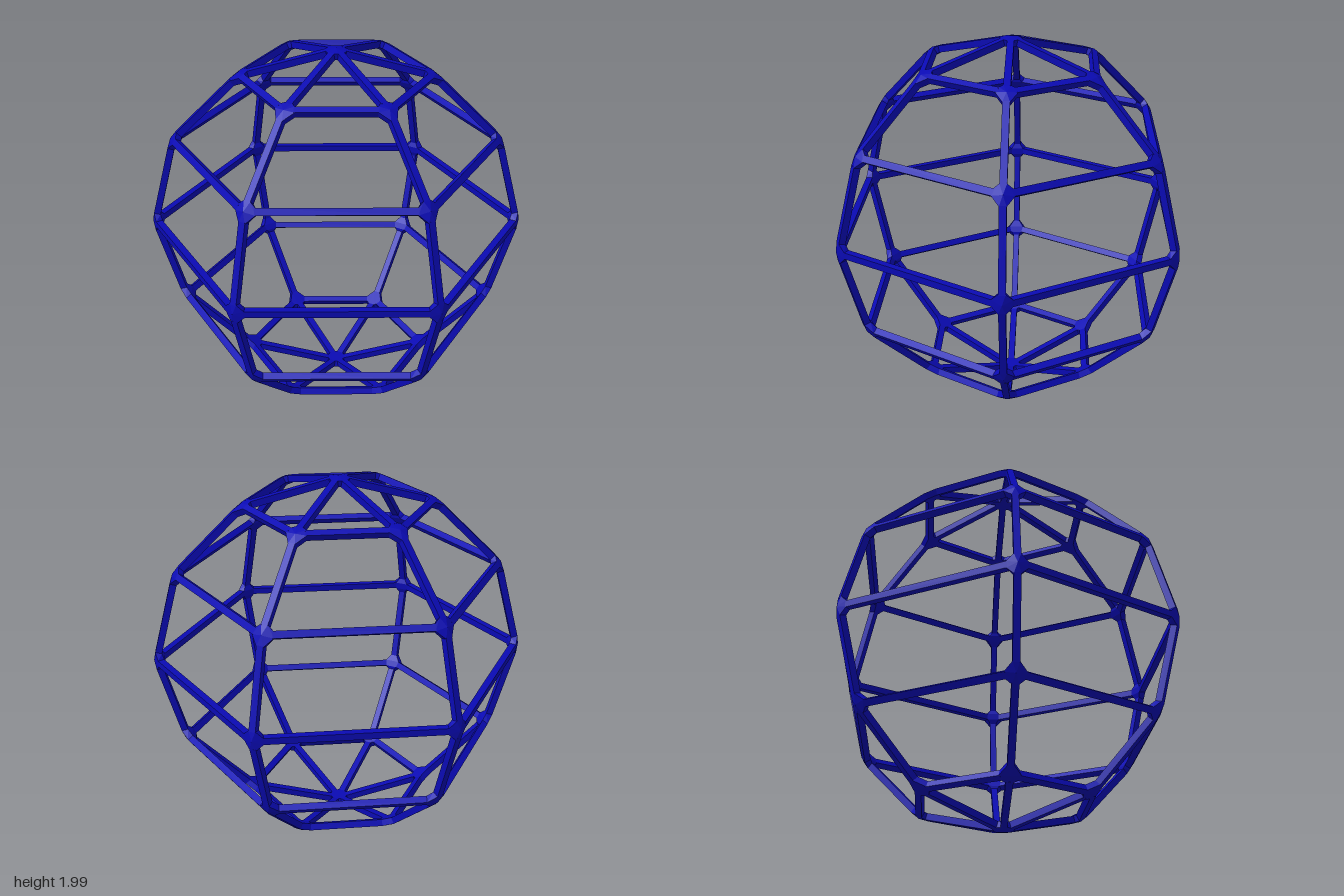
import * as THREE from 'three';
import { ConvexGeometry } from 'three/addons/geometries/ConvexGeometry.js';

const RADIUS = 0.98;   // node distance from the centre
const BAR = 0.036;     // square bar thickness
const JOINT = 0.05;    // how far a joint reaches along each bar
const SIDES = 6, RINGS = 6;

export function createModel() {
  const model = new THREE.Group();
  model.name = 'wireGlobe';
  const blue = new THREE.MeshStandardMaterial({ color: 0x0a0ab4, flatShading: true });
  blue.name = 'deep blue';

  // Nodes on a six-sided globe, poles at both ends, one meridian facing front
  const nodes = [];
  const addNode = (ring, side) => {
    const lat = (ring / RINGS) * Math.PI;
    const lon = (side / SIDES) * Math.PI * 2;
    const position = new THREE.Vector3().setFromSphericalCoords(RADIUS, lat, lon);
    nodes.push({ position, corners: [] });
    return nodes[nodes.length - 1];
  };
  const north = addNode(0, 0), south = addNode(RINGS, 0);
  const grid = [];
  for (let r = 1; r < RINGS; r++) {
    grid[r] = [];
    for (let s = 0; s < SIDES; s++) grid[r][s] = addNode(r, s);
  }

  const frame = new THREE.Group();
  frame.name = 'frame';
  frame.position.y = 1;
  model.add(frame);

  // Square bar between two nodes, one face turned outward
  const addBar = (a, b, name) => {
    const along = b.position.clone().sub(a.position);
    const length = along.length();
    along.normalize();
    const middle = a.position.clone().add(b.position).multiplyScalar(0.5);
    const out = middle.clone().normalize();
    const across = new THREE.Vector3().crossVectors(along, out);
    const geometry = new THREE.BoxGeometry(BAR, length - JOINT * 1.8, BAR);
    geometry.applyMatrix4(new THREE.Matrix4().makeBasis(across, along, out).setPosition(middle));
    const bar = new THREE.Mesh(geometry, blue);
    bar.name = name;
    frame.add(bar);

    // Bar end corners become the outline of each joint
    for (const [node, sign] of [[a, 1], [b, -1]]) {
      for (const u of [-1, 1]) for (const v of [-1, 1]) {
        node.corners.push(node.position.clone()
          .addScaledVector(along, sign * JOINT)
          .addScaledVector(across, u * BAR / 2)
          .addScaledVector(out, v * BAR / 2));
      }
    }
  };

  for (let s = 0; s < SIDES; s++) {
    addBar(north, grid[1][s], 'meridianBar');
    for (let r = 1; r < RINGS; r++) {
      addBar(grid[r][s], grid[r][(s + 1) % SIDES], 'ringBar');
      addBar(grid[r][s], r + 1 < RINGS ? grid[r + 1][s] : south, 'meridianBar');
    }
  }

  // Faceted joints wrapped around the bar ends, with a slight outer point
  for (const node of nodes) {
    const tip = node.position.clone().setLength(RADIUS + 0.016);
    const joint = new THREE.Mesh(new ConvexGeometry([...node.corners, tip]), blue);
    joint.name = 'joint';
    frame.add(joint);
  }
  return model;
}
